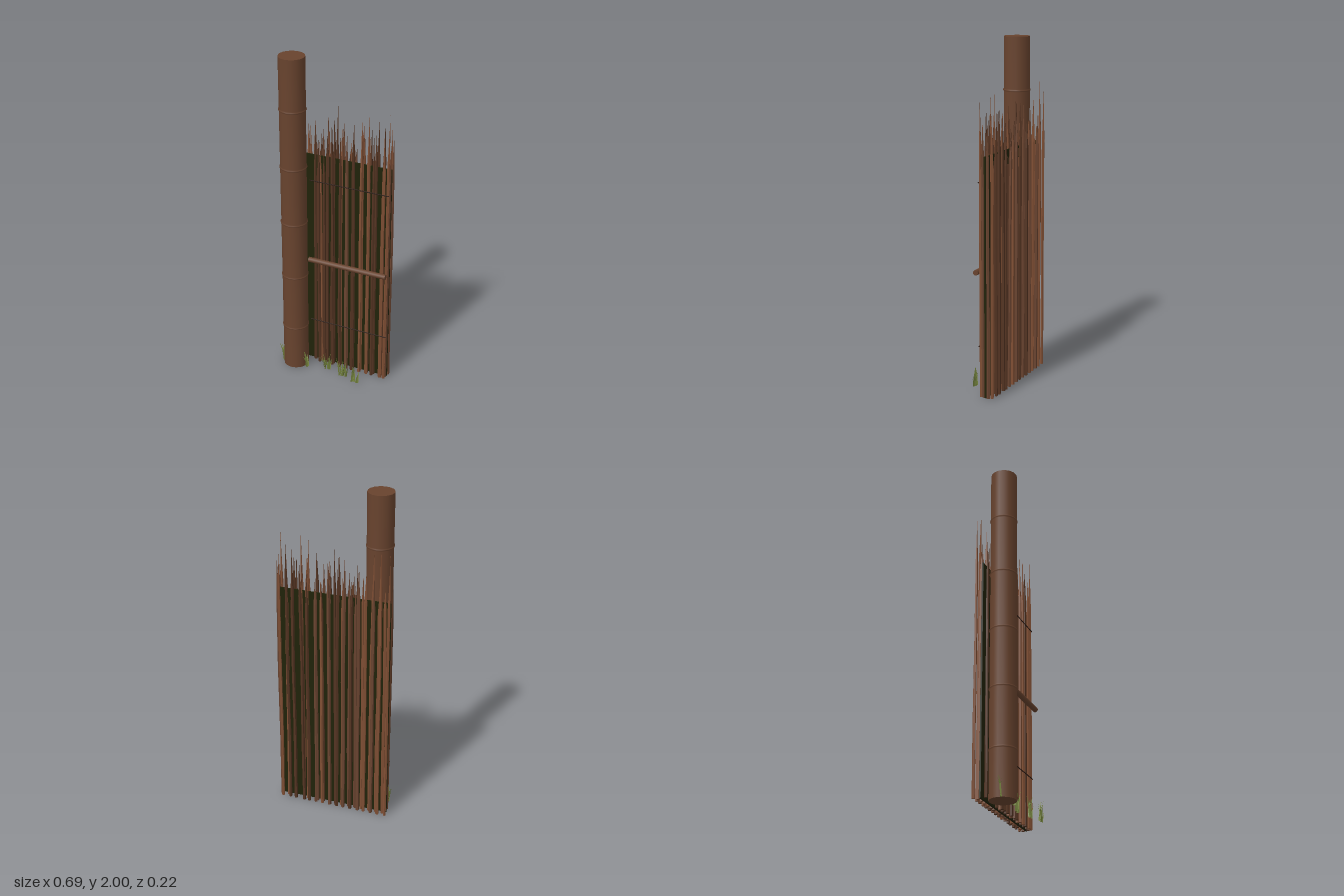
import * as THREE from 'three';

const mat = (name, color, side = THREE.FrontSide, flatShading = false) => {
  const m = new THREE.MeshStandardMaterial({ color, side, flatShading });
  m.name = name;
  return m;
};

function seeded(seed) {
  return () => {
    seed = (seed * 16807) % 2147483647;
    return seed / 2147483647;
  };
}

// Five-sided reed: slightly twisted, wavy shaft that narrows into a thin, leaning spike
function reedGeometry(rand, radius, shaft, height) {
  const mid = shaft + (height - shaft) * 0.4;
  const profile = [[0, 0], [radius, 0], [radius, shaft * 0.3], [radius * 0.95, shaft * 0.65],
    [radius * 0.9, shaft], [radius * 0.45, mid], [0, height]];
  const geo = new THREE.LatheGeometry(profile.map(([r, y]) => new THREE.Vector2(r, y)), 5);
  const leanX = (rand() - 0.5) * 0.016, leanZ = (rand() - 0.5) * 0.006;
  const turn = rand() * 6, twist = (rand() - 0.5) * 1.6, phase = rand() * 6;
  const p = geo.attributes.position;
  const v = new THREE.Vector3();
  const up = new THREE.Vector3(0, 1, 0);
  for (let i = 0; i < p.count; i++) {
    v.fromBufferAttribute(p, i);
    const t = v.y / height;
    v.applyAxisAngle(up, turn + twist * t);
    v.x += leanX * t * t + Math.sin(phase + t * 9) * 0.002;
    v.z += leanZ * t * t;
    p.setXYZ(i, v.x, v.y, v.z);
  }
  return geo;
}

// Clump of bent, pointed blades
function grassGeometry(rand, count, spreadX, spreadZ) {
  const pos = [];
  for (let i = 0; i < count; i++) {
    const a = rand() * Math.PI * 2;
    const x = (rand() - 0.5) * spreadX, z = (rand() - 0.5) * spreadZ;
    const h = 0.06 + rand() * 0.065, out = 0.012 + rand() * 0.028, w = 0.0055;
    const dx = Math.cos(a), dz = Math.sin(a) * 0.5;
    const px = -Math.sin(a) * w, pz = Math.cos(a) * w;
    const at = (s, f, k) => [x + dx * out * f + px * s, h * k, z + dz * out * f + pz * s];
    const b0 = at(-1, 0, 0), b1 = at(1, 0, 0);
    const m0 = at(-0.8, 0.35, 0.6), m1 = at(0.8, 0.35, 0.6), tip = at(0, 1, 1);
    // Wound so that the upper side of each blade is the front
    pos.push(...b0, ...m1, ...b1, ...b0, ...m0, ...m1, ...m0, ...tip, ...m1);
  }
  const geo = new THREE.BufferGeometry();
  geo.setAttribute('position', new THREE.Float32BufferAttribute(pos, 3));
  geo.computeVertexNormals();
  return geo;
}

export function createModel() {
  const group = new THREE.Group();
  const rand = seeded(4711);
  const wood = mat('post brown', 0x68432e);
  const reeds = [
    mat('reed brown', 0x6a4430, THREE.FrontSide, true),
    mat('dark reed brown', 0x543422, THREE.FrontSide, true),
    mat('light reed brown', 0x804f34, THREE.FrontSide, true),
  ];
  const backing = mat('dark moss', 0x202209);
  const cord = mat('cord', 0x2b1a12);
  const grass = mat('grass green', 0x76853f, THREE.DoubleSide);

  const add = (name, geo, material, x = 0, y = 0, z = 0, parent = group) => {
    const mesh = new THREE.Mesh(geo, material);
    mesh.name = name;
    mesh.position.set(x, y, z);
    parent.add(mesh);
    return mesh;
  };

  // Thick cane post: one smooth profile with a raised lip at every joint, and flat ends
  const post = new THREE.Group();
  post.name = 'post';
  post.position.set(-0.239, 0, 0.027);
  group.add(post);
  const outline = [new THREE.Vector2(0.076, 0)];
  for (let i = 0; i < 5; i++) {
    const y = 0.28 + i * 0.3525;
    for (const [r, dy] of [[0.0755, -0.008], [0.08, -0.003], [0.08, 0.003], [0.0755, 0.008]]) {
      outline.push(new THREE.Vector2(r, y + dy));
    }
  }
  outline.push(new THREE.Vector2(0.076, 2));
  add('postShaft', new THREE.LatheGeometry(outline, 16), wood, 0, 0, 0, post);
  for (const [y, turn] of [[2, -Math.PI / 2], [0, Math.PI / 2]]) {
    const end = new THREE.CircleGeometry(0.076, 16).rotateX(turn);
    add('postEnd', end, wood, 0, y, 0, post);
  }

  // Backing sheet between the reed rows
  add('backing', new THREE.BoxGeometry(0.665, 1.39, 0.01), backing, -0.0025, 0.695, -0.062);

  // Four rows of reeds, leaving room for the post in the two front rows
  const rows = [
    [-0.1, [-0.335, -0.285, -0.245, -0.2, -0.16, -0.115, -0.07, -0.03, 0.015, 0.063, 0.1, 0.145, 0.18, 0.233, 0.267, 0.315]],
    [-0.081, [-0.313, -0.27, -0.23, -0.18, -0.14, -0.1, -0.058, -0.015, 0.023, 0.062, 0.1, 0.157, 0.185, 0.24, 0.28, 0.327]],
    [-0.048, [-0.14, -0.1, -0.063, -0.02, 0.021, 0.06, 0.108, 0.157, 0.2, 0.243, 0.293, 0.32]],
    [-0.031, [-0.328, -0.107, -0.075, -0.025, 0.025, 0.072, 0.108, 0.157, 0.204, 0.237, 0.293, 0.32]],
  ];
  const panel = new THREE.Group();
  panel.name = 'reedPanel';
  group.add(panel);
  for (const [z, xs] of rows) {
    for (const x of xs) {
      const radius = 0.009 + rand() * 0.0025;
      const shaft = 1.28 + rand() * 0.16;
      const height = shaft + 0.12 + rand() * 0.16 + (rand() > 0.7 ? 0.08 : 0);
      const material = reeds[Math.floor(rand() * 3)];
      add('reed', reedGeometry(rand, radius, shaft, height), material, x, 0, z, panel);
    }
  }

  // Cross rail and binding cords
  const bar = (name, r, sides, material, y, z) =>
    add(name, new THREE.CylinderGeometry(r, r, 0.49, sides).rotateZ(Math.PI / 2), material, 0.085, y, z);
  bar('rail', 0.016, 10, wood, 0.73, -0.002);
  bar('lowerCord', 0.003, 6, cord, 0.302, -0.021);
  bar('upperCord', 0.003, 6, cord, 1.243, -0.021);

  // Grass tufts along the front foot
  const tufts = [
    [-0.145, 0.057, 9, 0.02, 0.014],
    [-0.03, 0.026, 13, 0.04, 0.01],
    [0.09, 0.055, 13, 0.05, 0.014],
    [0.18, 0.083, 11, 0.05, 0.01],
    [-0.312, 0.047, 4, 0.01, 0.006],
  ];
  for (const [x, z, n, sx, sz] of tufts) add('grassTuft', grassGeometry(rand, n, sx, sz), grass, x, 0, z);

  return group;
}
